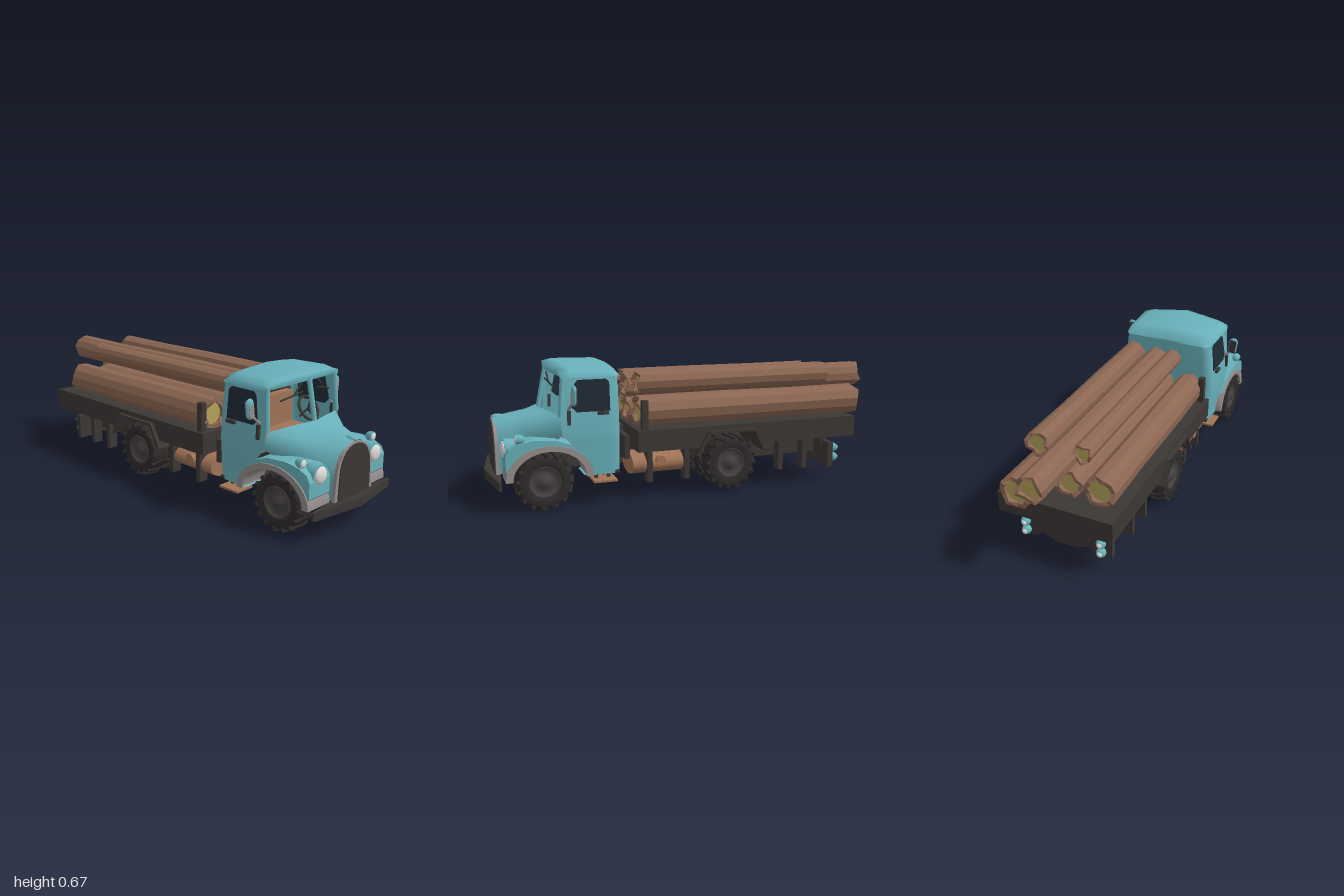
import * as THREE from 'three';

const mat = (name, color, side = THREE.FrontSide) => {
  const m = new THREE.MeshStandardMaterial({ color, side });
  m.name = name;
  return m;
};
const V = (x, y, z) => new THREE.Vector3(x, y, z);

export function createModel() {
  const truck = new THREE.Group();
  truck.name = 'logTruck';
  const teal = mat('tealPaint', 0x68b0ba, THREE.DoubleSide);
  const dark = mat('darkMetal', 0x3b3735);
  const rubber = mat('tyreRubber', 0x2f2c2b);
  const steel = mat('wheelSteel', 0x454140);
  const grey = mat('greyTrim', 0x958e8c);
  const lens = mat('lampLens', 0xdedad8);
  const bark = mat('bark', 0x8c6753);
  const wood = mat('cutWood', 0xb3a35a);
  const tan = mat('brownLeather', 0xa07356);
  const glass = mat('darkGlass', 0x202c36);

  const add = (name, geo, m, parent = truck) => {
    const mesh = new THREE.Mesh(geo, m);
    mesh.name = name;
    parent.add(mesh);
    return mesh;
  };
  // box given by its limits on each axis
  const box = (name, m, x0, x1, y0, y1, z0, z1, parent) => add(name,
    new THREE.BoxGeometry(x1 - x0, y1 - y0, z1 - z0).translate((x0 + x1) / 2, (y0 + y1) / 2, (z0 + z1) / 2), m, parent);
  const bar = (name, m, a, b, r, parent) => {
    const d = b.clone().sub(a);
    const mesh = add(name, new THREE.CylinderGeometry(r, r, d.length(), 8), m, parent);
    mesh.position.copy(a).addScaledVector(d, 0.5);
    mesh.quaternion.setFromUnitVectors(V(0, 1, 0), d.normalize());
    return mesh;
  };
  const shape = pts => new THREE.Shape(pts.map(p => new THREE.Vector2(p[0], p[1])));
  // side outline in (z, y), extruded from x0 to x1
  const sideways = (s, x0, x1) => new THREE.ExtrudeGeometry(s, { depth: x1 - x0, bevelEnabled: false, curveSegments: 24 })
    .rotateY(-Math.PI / 2).translate(x1, 0, 0);
  const loft = rows => {
    const n = rows[0].length, index = [];
    for (let i = 0; i < rows.length - 1; i++) for (let j = 0; j < n - 1; j++) {
      const a = i * n + j, b = a + n;
      index.push(a, a + 1, b, a + 1, b + 1, b);
    }
    const g = new THREE.BufferGeometry();
    g.setAttribute('position', new THREE.Float32BufferAttribute(rows.flat(2), 3));
    g.setIndex(index);
    g.computeVertexNormals();
    return g;
  };
  const mirrorRow = half => [...half, ...half.slice(0, -1).reverse().map(p => [-p[0], p[1], p[2]])];

  // bonnet: sections swept back from the grille to the windscreen base
  const bonnet = [
    [0.95, 0, [[0.115, 0.155], [0.115, 0.25], [0.105, 0.32], [0.07, 0.375], [0.035, 0.397], [0, 0.405]]],
    [0.88, 0, [[0.14, 0.155], [0.145, 0.27], [0.135, 0.33], [0.095, 0.385], [0.045, 0.408], [0, 0.415]]],
    [0.79, 0.05, [[0.15, 0.155], [0.16, 0.28], [0.19, 0.34], [0.15, 0.395], [0.07, 0.42], [0, 0.427]]],
    [0.745, 0.3, [[0.155, 0.155], [0.17, 0.285], [0.262, 0.35], [0.245, 0.425], [0.12, 0.437], [0, 0.445]]],
  ];
  add('bonnet', loft(bonnet.map(([z, k, pts]) => mirrorRow(pts.map(([x, y]) => [x, y, z - k * x])))), teal);

  // cab shell: sides and rounded back, stacked by height
  const levels = [[0.145, 0.25, 0.55], [0.22, 0.255, 0.575], [0.30, 0.26, 0.63], [0.35, 0.264, 0.67],
    [0.43, 0.258, 0.675], [0.52, 0.25, 0.665], [0.605, 0.24, 0.65]];
  add('cabShell', loft(levels.map(([y, w, zf]) => mirrorRow([[w, y, zf], [w, y, 0.5], [w - 0.003, y, 0.43],
    [w - 0.014, y, 0.404], [w - 0.045, y, 0.393], [0, y, 0.388]]))), teal);

  // roof with peaked front edge
  const roof = [
    [0.70, [[0.248, 0.6], [0.24, 0.602], [0.2, 0.605], [0.1, 0.61], [0, 0.617]]],
    [0.71, [[0.25, 0.602], [0.245, 0.623], [0.2, 0.636], [0.1, 0.645], [0, 0.652]]],
    [0.66, [[0.25, 0.602], [0.24, 0.626], [0.2, 0.646], [0.1, 0.656], [0, 0.665]]],
    [0.45, [[0.243, 0.6], [0.235, 0.622], [0.195, 0.643], [0.1, 0.653], [0, 0.659]]],
    [0.41, [[0.238, 0.6], [0.225, 0.612], [0.19, 0.63], [0.1, 0.638], [0, 0.642]]],
    [0.388, [[0.22, 0.6], [0.21, 0.6], [0.19, 0.6], [0.1, 0.6], [0, 0.6]]],
  ];
  add('roof', loft(roof.map(([z, pts], i) => mirrorRow(pts.map(([x, y]) => [x, y, z - (i < 3 ? 0.16 * x : 0)])))), teal);

  // windscreen frame and cab interior
  bar('centrePillar', teal, V(0, 0.43, 0.735), V(0, 0.625, 0.695), 0.012);
  box('cabFloor', dark, -0.245, 0.245, 0.145, 0.16, 0.4, 0.55);
  box('rearLining', dark, -0.225, 0.225, 0.3, 0.603, 0.41, 0.415);
  box('seatBack', tan, -0.185, 0.175, 0.3, 0.5, 0.43, 0.47);
  box('seatCushion', tan, -0.185, 0.175, 0.28, 0.35, 0.43, 0.56);
  const steering = add('steeringWheel', new THREE.TorusGeometry(0.06, 0.007, 6, 14), dark);
  steering.position.set(0.13, 0.445, 0.6);
  steering.rotation.x = -0.6;
  bar('steeringColumn', dark, V(0.13, 0.445, 0.6), V(0.13, 0.38, 0.68), 0.01);
  for (const a of [0, 2.1, 4.2]) bar('steeringSpoke', dark, V(0.13, 0.445, 0.6),
    V(0.13 + 0.058 * Math.cos(a), 0.445 + 0.048 * Math.sin(a), 0.6 + 0.033 * Math.sin(a)), 0.005);

  // front bumper, pointed in plan
  add('frontBumper', new THREE.ExtrudeGeometry(shape([[-0.28, 0.957], [0, 0.998], [0.28, 0.957], [0.28, 0.947],
    [0.1, 0.93], [-0.1, 0.93], [-0.28, 0.947]]), { depth: 0.04, bevelEnabled: false }).rotateX(Math.PI / 2).translate(0, 0.155, 0), dark);

  // grille with flared surround
  const arch = (foot, w, top) => {
    const s = new THREE.Shape();
    s.moveTo(-foot, 0.155);
    s.bezierCurveTo(-w, 0.24, -w, 0.3, -w * 0.85, 0.33);
    s.bezierCurveTo(-w * 0.55, top, w * 0.55, top, w * 0.85, 0.33);
    s.bezierCurveTo(w, 0.3, w, 0.24, foot, 0.155);
    return s;
  };
  add('grilleSurround', new THREE.ExtrudeGeometry(arch(0.137, 0.128, 0.419), { depth: 0.016, bevelEnabled: false, curveSegments: 10 }).translate(0, 0, 0.938), grey);
  add('grille', new THREE.ExtrudeGeometry(arch(0.115, 0.112, 0.408), { depth: 0.008, bevelEnabled: false, curveSegments: 10 }).translate(0, 0, 0.951), dark);
  add('bonnetOrnament', new THREE.SphereGeometry(0.016, 12, 8).scale(1, 0.8, 2).translate(0, 0.403, 0.925), teal);

  // tyre with chevron tread, on a stepped steel rim
  const wheel = (name, x, y, z, s) => {
    const g = new THREE.Group();
    g.name = name;
    const lathe = pts => new THREE.LatheGeometry(pts.map(p => new THREE.Vector2(p[0], p[1])), 28).rotateZ(-Math.PI / 2);
    add('tyre', lathe([[0.07, -0.045], [0.08, -0.052], [0.108, -0.054], [0.12, -0.046], [0.128, -0.02],
      [0.128, 0.02], [0.12, 0.046], [0.108, 0.054], [0.08, 0.052], [0.07, 0.045]]), rubber, g);
    add('rim', lathe([[0, -0.04], [0.072, -0.04], [0.075, 0.047], [0.066, 0.05], [0.06, 0.034],
      [0.03, 0.036], [0.026, 0.052], [0, 0.053]]), steel, g);
    for (let i = 0; i < 16; i++) for (const k of [-1, 1]) {
      const lug = add('treadLug', new THREE.BoxGeometry(0.062, 0.016, 0.017), rubber, g);
      const a = (i / 16) * Math.PI * 2;
      lug.rotation.order = 'XYZ';
      lug.rotation.set(a, k * 0.4, -k * 0.14);
      lug.position.set(k * 0.028, 0.125 * Math.cos(a), 0.125 * Math.sin(a));
    }
    g.position.set(x, y, z);
    if (s < 0) g.rotation.y = Math.PI;
    truck.add(g);
  };

  // fender and trim outlines around the front wheel
  const fender = shape([[0.915, 0.185], [0.925, 0.2], [0.925, 0.27], [0.91, 0.3], [0.87, 0.32], [0.8, 0.332],
    [0.7, 0.325], [0.63, 0.3], [0.57, 0.24], [0.54, 0.155], [0.575, 0.155]]);
  const inner = new THREE.Path().absellipse(0.73, 0.14, 0.18, 0.153, 0.12, 3, false);
  fender.curves.push(...new THREE.Shape(inner.getPoints(20).reverse()).curves);
  const trim = new THREE.Shape();
  trim.absellipse(0.73, 0.15, 0.198, 0.153, 0, Math.PI, false);
  trim.absellipse(0.73, 0.15, 0.166, 0.128, Math.PI, 0, true);

  for (const s of [1, -1]) {
    const side = new THREE.Group();
    side.name = s > 0 ? 'leftFittings' : 'rightFittings';
    truck.add(side);
    const span = (a, b) => (s > 0 ? [a, b] : [-b, -a]);
    const sbox = (name, m, a, b, ...r) => box(name, m, ...span(a, b), ...r, side);

    add('frontFender', sideways(fender, ...span(0.135, 0.275)), teal, side);
    add('fenderTrim', sideways(trim, ...span(0.135, 0.282)), grey, side);
    wheel('frontWheel', s * 0.2225, 0.137, 0.755, s);
    wheel('rearOuterWheel', s * 0.2225, 0.15, -0.153, s);
    wheel('rearInnerWheel', s * 0.1035, 0.15, -0.153, s);

    // headlamp and side lamp
    for (const [n, x, y, z, r] of [['headlamp', 0.2, 0.288, 0.9, 0.048], ['sideLamp', 0.255, 0.34, 0.865, 0.022]]) {
      add(n + 'Housing', new THREE.SphereGeometry(r, 20, 10, 0, Math.PI * 2, 0, Math.PI / 2).rotateX(-Math.PI / 2).scale(1, 1, 1.3).translate(s * x, y, z), teal, side);
      add(n + 'Bezel', new THREE.CylinderGeometry(r, r, r * 0.5, 20).rotateX(Math.PI / 2).translate(s * x, y, z + r * 0.25), teal, side);
      add(n + 'Lens', new THREE.SphereGeometry(r * 0.8, 20, 10).scale(1, 1, 0.4).translate(s * x, y, z + r * 0.5), lens, side);
    }

    // windscreen corner pillar and wiper
    bar('cornerPillar', teal, V(s * 0.247, 0.425, 0.672), V(s * 0.237, 0.61, 0.657), 0.012, side);
    const wx = s > 0 ? 0.045 : -0.175;
    bar('wiperBlade', dark, V(wx, s > 0 ? 0.58 : 0.55, 0.715 - 0.2 * Math.abs(wx)), V(wx + 0.12, s > 0 ? 0.55 : 0.575, 0.715 - 0.2 * Math.abs(wx + 0.12)), 0.004, side);
    bar('wiperArm', dark, V(s * 0.06, 0.612, 0.7), V(s * 0.1, 0.57, 0.697), 0.004, side);

    // side window, door handle and hinge
    const pane = [[0.445, 0.445], [0.6, 0.445], [0.625, 0.47], [0.605, 0.575], [0.59, 0.59], [0.46, 0.59], [0.445, 0.575]];
    const paneGeo = sideways(shape(pane), ...span(0.252, 0.26));
    const p = paneGeo.attributes.position;
    for (let i = 0; i < p.count; i++) p.setX(i, p.getX(i) - s * (p.getY(i) - 0.43) * 0.1);
    add('sideWindow', paneGeo, glass, side);
    sbox('doorHandle', dark, 0.26, 0.275, 0.43, 0.445, 0.455, 0.505);
    sbox('hingeBlock', dark, 0.255, 0.272, 0.39, 0.455, 0.63, 0.645);

    // mirror
    bar('mirrorArm', grey, V(s * 0.252, 0.455, 0.64), V(s * 0.292, 0.495, 0.625), 0.006, side);
    const mirror = new THREE.Group();
    mirror.name = 'mirror';
    add('mirrorCase', new THREE.CapsuleGeometry(0.024, 0.046, 4, 12).scale(1, 1, 0.5), teal, mirror);
    box('mirrorFront', grey, -0.014, 0.014, -0.04, 0.018, 0.008, 0.013, mirror);
    box('mirrorGlass', dark, -0.018, 0.018, -0.035, 0.035, -0.013, -0.008, mirror);
    mirror.position.set(s * 0.302, 0.528, 0.62);
    mirror.rotation.z = s * -0.13;
    side.add(mirror);

    // cab step, fuel tank and straps
    sbox('cabStep', tan, 0.17, 0.275, 0.112, 0.122, 0.42, 0.53);
    for (const z of [0.44, 0.5]) sbox('stepHanger', dark, 0.2, 0.22, 0.12, 0.15, z, z + 0.015);
    add('fuelTank', new THREE.CylinderGeometry(0.054, 0.054, 0.28, 16).rotateX(Math.PI / 2).scale(1.85, 1, 1).translate(s * 0.145, 0.167, 0.195), tan, side);
    add('tankCap', new THREE.CylinderGeometry(0.025, 0.025, 0.02, 14).rotateZ(Math.PI / 2).translate(s * 0.243, 0.185, 0.2), tan, side);

    // posts under the bed, corner stake and mudguard
    for (const z of [0.255, 0.07, -0.435, -0.57]) sbox('bedPost', dark, 0.2, 0.252, 0.085, 0.245, z - 0.013, z + 0.013);
    sbox('cornerStake', dark, 0.235, 0.265, 0.34, 0.48, 0.265, 0.295);
    add('mudguard', sideways(shape([[0.035, 0.205], [-0.03, 0.32], [-0.275, 0.32], [-0.335, 0.205],
      [-0.32, 0.205], [-0.267, 0.308], [-0.038, 0.308], [0.02, 0.205]]), ...span(0.17, 0.3)), dark, side);

    // tail lamps
    for (const y of [0.112, 0.162]) {
      add('tailLamp', new THREE.SphereGeometry(0.023, 14, 10).translate(s * 0.19, y, -0.775), teal, side);
      add('tailLens', new THREE.SphereGeometry(0.015, 12, 8).translate(s * 0.19, y, -0.787), lens, side);
    }
  }

  // chassis, axles and bed
  box('chassisSpine', dark, -0.042, 0.042, 0.14, 0.245, -0.68, 0.92);
  box('rearSubframe', dark, -0.15, 0.15, 0.14, 0.245, -0.68, -0.31);
  for (const [y, z] of [[0.137, 0.755], [0.15, -0.153]]) bar('axle', dark, V(-0.22, y, z), V(0.22, y, z), 0.018);
  box('cabSupport', dark, -0.215, 0.215, 0.2, 0.31, 0.342, 0.368);
  box('supportMount', dark, -0.04, 0.04, 0.2, 0.33, 0.325, 0.385);
  add('cargoBed', sideways(shape([[0.32, 0.24], [0.32, 0.342], [-0.84, 0.342], [-0.84, 0.24], [-0.305, 0.24],
    [-0.265, 0.31], [-0.045, 0.31], [-0.01, 0.24]]), -0.28, 0.28), dark);
  add('rearBumper', new THREE.ExtrudeGeometry(shape([[-0.23, 0.07], [-0.15, 0.07], [-0.12, 0.1], [-0.05, 0.07], [0.05, 0.07],
    [0.12, 0.1], [0.15, 0.07], [0.23, 0.07], [0.23, 0.2], [-0.23, 0.2]]), { depth: 0.03, bevelEnabled: false }).translate(0, 0, -0.75), dark);
  for (const x of [-0.15, 0.15]) box('bumperHanger', dark, x - 0.02, x + 0.02, 0.18, 0.25, -0.75, -0.71);

  // logs: [x, y, radius, front z, back z], bark tubes with recessed cut ends
  const logs = [[-0.175, 0.412, 0.076, 0.3, -0.76], [0.145, 0.412, 0.078, 0.3, -0.91], [-0.02, 0.402, 0.068, 0.31, -0.75],
    [0.015, 0.525, 0.065, 0.325, -1], [0.137, 0.552, 0.06, 0.3, -0.73], [-0.075, 0.55, 0.047, 0.32, -0.72]];
  logs.forEach(([x, y, r, z1, z0], k) => {
    const L = z1 - z0, q = r * 0.72, d = 0.035;
    const prof = [[q, d], [q, 0], [r, 0], [r * 0.96, L * 0.3], [r, L * 0.65], [r * 0.97, L], [q, L], [q, L - d]];
    const g = new THREE.LatheGeometry(prof.map(v => new THREE.Vector2(...v)), 11);
    const p = g.attributes.position;
    for (let i = 0; i < p.count; i++) {
      const a = Math.atan2(p.getZ(i), p.getX(i)), f = 1 + 0.04 * Math.sin(3 * a + k * 2);
      const end = p.getY(i) < 0.001 ? 1 : p.getY(i) > L - 0.001 ? -1 : 0;
      p.setXYZ(i, p.getX(i) * f, p.getY(i) + end * 0.012 * (1 + Math.sin(4 * a + k)), p.getZ(i) * f);
    }
    const flat = g.toNonIndexed().rotateX(Math.PI / 2).translate(x, y, z0);
    flat.computeVertexNormals();
    add('logBark', flat, bark);
    add('logCore', new THREE.CylinderGeometry(q * 1.04, q * 1.04, L - d * 1.6, 11).rotateX(Math.PI / 2).translate(x, y, (z0 + z1) / 2), wood);
  });
  return truck;
}
